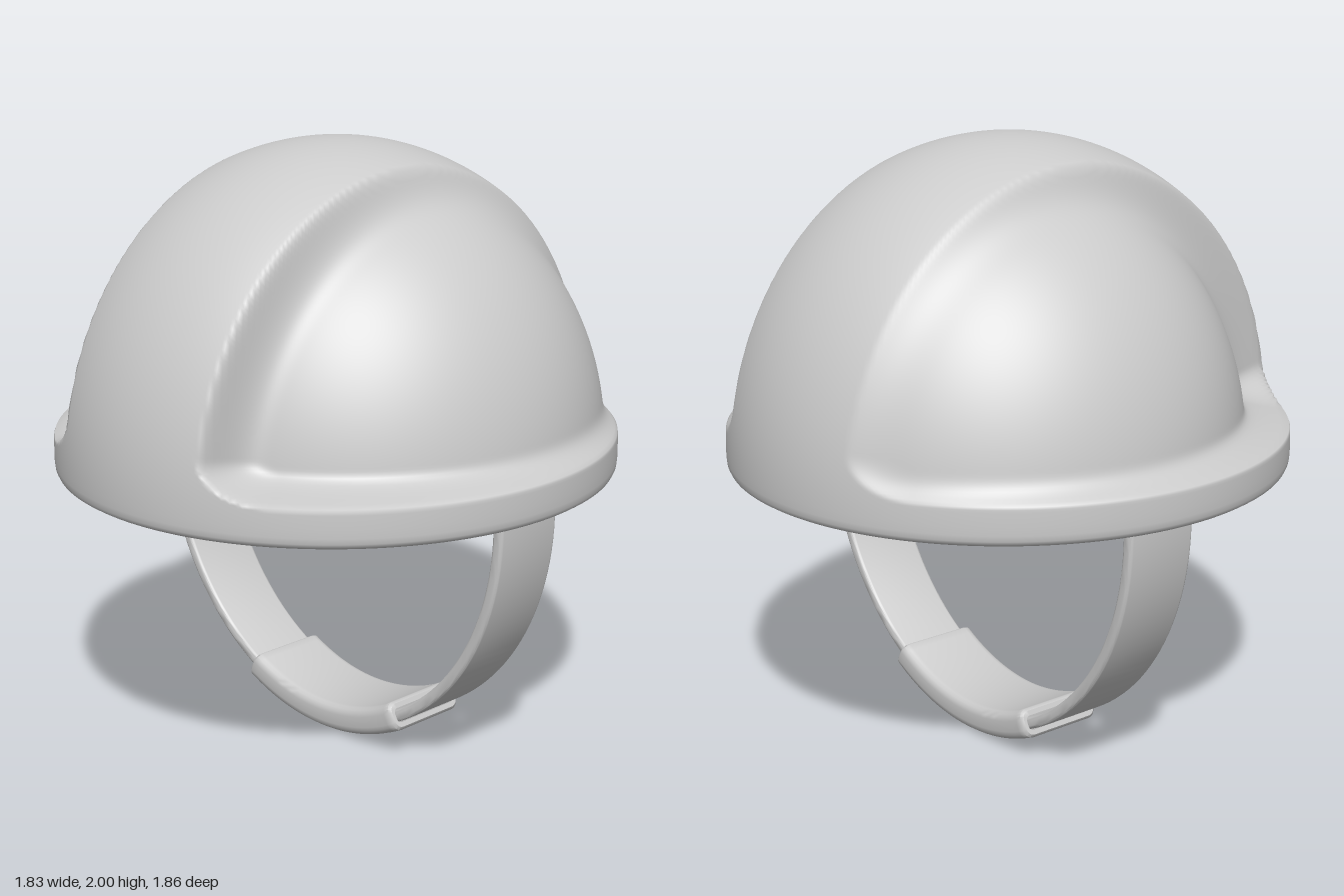
import * as THREE from 'three';
import { toCreasedNormals } from 'three/addons/utils/BufferGeometryUtils.js';

const material = new THREE.MeshStandardMaterial({ color: 0xcccccc });

// Skin a list of closed rings (arrays of [x, y, z]) with quads
function skin(rings) {
  const n = rings[0].length;
  const index = [];
  for (let i = 0; i < rings.length - 1; i++) {
    for (let j = 0; j < n; j++) {
      const k = (j + 1) % n;
      const a = i * n + j, b = a + n, c = (i + 1) * n + k, d = i * n + k;
      index.push(a, b, c, a, c, d);
    }
  }
  const g = new THREE.BufferGeometry();
  g.setAttribute('position', new THREE.Float32BufferAttribute(rings.flat(2), 3));
  g.setIndex(index);
  g.computeVertexNormals();
  return g;
}

function addMesh(group, name, geometry) {
  const m = new THREE.Mesh(geometry, material);
  m.name = name;
  group.add(m);
}

// ---- Helmet shell: raised centre band and brim, with a recessed dome each side
const CY = 1.0;                       // height of the ellipsoid centre
const OUT = [0.915, 1.0, 0.93];       // band and brim surface
const DOME = [0.83, 0.91, 0.83];      // recessed side domes
const DOME_Z = -0.075;                // domes sit a little to the back
const INNER = [0.765, 0.86, 0.75];    // inside surface
const INNER_Z = -0.025;

// 0 on band and brim, 1 in the recess: steep wall, soft foot, rounded lower corner
function recess(x, y) {
  const r = 0.2;
  const px = Math.max(r - (Math.abs(x) - 0.312), 0);
  const py = Math.max(r - (y - 0.06) * 1.7, 0);
  const d = THREE.MathUtils.clamp((r - Math.hypot(px, py)) / 0.17, 0, 1);
  const t = (d * d * 1.08) / (d + 0.08);
  return 1 - (1 - t) ** 3;
}

// Scale that brings a point, along its ray from the centre, onto the dome
function domeScale(x, y, z) {
  const a = (x / DOME[0]) ** 2 + (y / DOME[1]) ** 2 + (z / DOME[2]) ** 2;
  const b = (z * DOME_Z) / DOME[2] ** 2;
  const c = (DOME_Z / DOME[2]) ** 2 - 1;
  return (b + Math.sqrt(b * b - a * c)) / a;
}

function shellGeometry() {
  const cols = 440, rows = 100;
  const ring = (f) => Array.from({ length: cols }, (_, j) => {
    const a = (j / cols) * Math.PI * 2;
    return f(Math.sin(a), Math.cos(a));
  });
  const rings = [];
  // outside, crown to brim, rows packed closer near the brim
  for (let i = 0; i <= rows; i++) {
    const e = (Math.PI / 2) * (1 - i / rows) ** 1.4;
    rings.push(ring((s, c) => {
      const x = OUT[0] * Math.cos(e) * s, y = OUT[1] * Math.sin(e), z = OUT[2] * Math.cos(e) * c;
      const k = 1 + (domeScale(x, y, z) - 1) * recess(x, y);
      return [x * k, CY + y * k, z * k];
    }));
  }
  // rounded lower lip
  const lip = [[1, 0.975], [0.998, 0.957], [0.992, 0.945], [0.982, 0.939], [0.968, 0.937],
    [0.92, 0.937], [0.875, 0.937], [0.855, 0.94], [0.843, 0.948]];
  for (const [k, y] of lip) rings.push(ring((s, c) => [OUT[0] * k * s, y, OUT[2] * k * c]));
  // inside, lip to crown
  for (let i = 0; i <= 28; i++) {
    const e = (Math.PI / 2) * (i / 28);
    rings.push(ring((s, c) => [
      INNER[0] * Math.cos(e) * s, 0.97 + INNER[1] * Math.sin(e),
      INNER_Z + INNER[2] * Math.cos(e) * c]));
  }
  return skin(rings);
}

// ---- Chin strap: rounded rectangles swept along a half ellipse
const STRAP = { rx: 0.783, ry: 0.85, cy: 0.9, z: -0.05 };

function section(angle, w, h, r) {
  const s = Math.sin(angle), c = Math.cos(angle);
  const normal = new THREE.Vector2(s / STRAP.rx, -c / STRAP.ry).normalize();
  const pts = [];
  for (let q = 0; q < 4; q++) {
    const mid = -(q + 0.5) * Math.PI / 2;
    for (let k = 0; k < 5; k++) {
      const a = -(q + k / 4) * Math.PI / 2;
      const u = Math.sign(Math.cos(mid)) * (w / 2 - r) + r * Math.cos(a);
      const v = Math.sign(Math.sin(mid)) * (h / 2 - r) + r * Math.sin(a);
      pts.push([STRAP.rx * s + normal.x * v, STRAP.cy - STRAP.ry * c + normal.y * v, STRAP.z + u]);
    }
  }
  return pts;
}

function sweep(from, to, steps, w, h, r) {
  return Array.from({ length: steps + 1 }, (_, i) =>
    section(from + ((to - from) * i) / steps, w, h, r));
}

// The strap ends are buried in the underside of the brim
function strapGeometry() {
  const end = 1.65;
  const rings = [
    section(-end, 0.002, 0.002, 0.001),
    ...sweep(-end, end, 72, 0.255, 0.04, 0.012),
    section(end, 0.002, 0.002, 0.001),
  ];
  return toCreasedNormals(skin(rings), 0.7);
}

// Hollow sleeve: outside one way, slot back the other way
function sleeveGeometry() {
  const a0 = -0.43, a1 = 0.487, b = 0.012;
  const rings = [
    section(a0, 0.285, 0.08, 0.025),
    ...sweep(a0 + b, a1 - b, 28, 0.3, 0.096, 0.03),
    section(a1, 0.285, 0.08, 0.025),
    ...sweep(a1, a0, 28, 0.264, 0.048, 0.016),
    section(a0, 0.285, 0.08, 0.025),
  ];
  return toCreasedNormals(skin(rings), 0.8);
}

export function createModel() {
  const helmet = new THREE.Group();
  helmet.name = 'helmet';
  addMesh(helmet, 'shell', shellGeometry());
  addMesh(helmet, 'chinStrap', strapGeometry());
  addMesh(helmet, 'chinSleeve', sleeveGeometry());
  return helmet;
}
